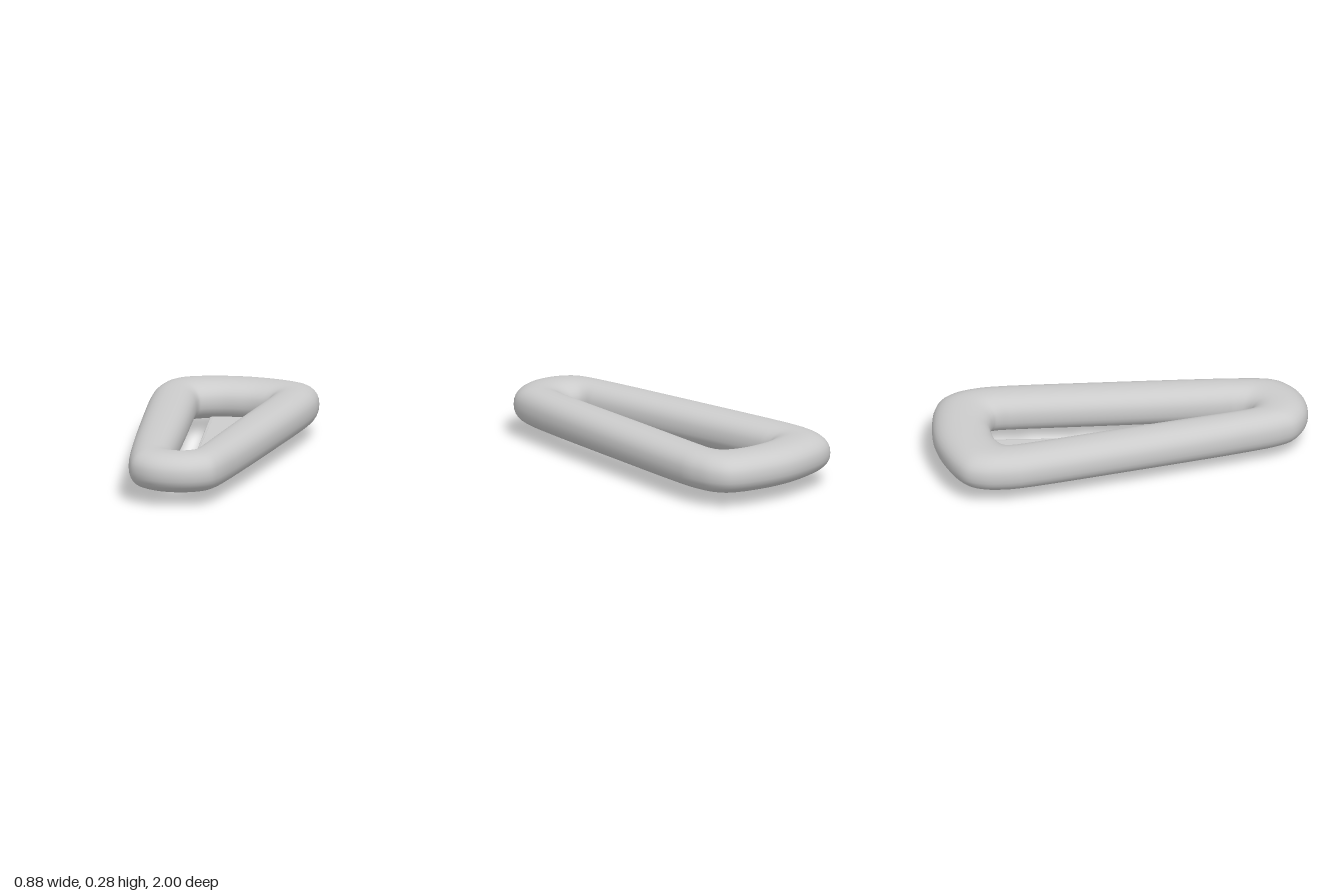
import * as THREE from 'three';

const material = new THREE.MeshStandardMaterial({ color: 0xcccccc });

// Half outlines from back to front: [outer x, outer z, inner x, inner z]
const HALF = [
  [0, -1, 0, -0.69],
  [0.15, -0.985, 0.08, -0.685],
  [0.3, -0.945, 0.14, -0.665],
  [0.375, -0.9, 0.165, -0.65],
  [0.42, -0.82, 0.18, -0.635],
  [0.438, -0.72, 0.185, -0.61],
  [0.44, -0.62, 0.182, -0.56],
  [0.37, 0, 0.12, 0],
  [0.285, 0.62, 0.06, 0.6],
  [0.245, 0.83, 0.055, 0.645],
  [0.215, 0.9, 0.045, 0.67],
  [0.15, 0.955, 0.03, 0.685],
  [0.08, 0.985, 0.015, 0.692],
  [0, 0.995, 0, 0.695],
];

// Closed smooth curve through the half outline and its mirror image
function outline(k) {
  const right = HALF.map((p) => new THREE.Vector3(p[k], 0, p[k + 1]));
  const left = right.slice(1, -1).reverse().map((p) => new THREE.Vector3(-p.x, 0, p.z));
  return new THREE.CatmullRomCurve3([...right, ...left], true, 'centripetal');
}

// Rounded bar swept between the outer and inner outlines
function frameGeometry() {
  const outer = outline(0), inner = outline(2);
  const rings = (HALF.length - 1) * 2 * 6, sides = 32;
  const midY = 0.175, halfHeight = 0.105, roundness = 2 / 2.3;
  const soft = (v) => Math.sign(v) * Math.pow(Math.abs(v), roundness);
  const positions = [], indices = [];
  for (let i = 0; i < rings; i++) {
    const o = outer.getPoint(i / rings), n = inner.getPoint(i / rings);
    for (let j = 0; j < sides; j++) {
      const a = (j / sides) * Math.PI * 2;
      const p = n.clone().lerp(o, 0.5 + 0.5 * soft(Math.cos(a)));
      positions.push(p.x, midY + halfHeight * soft(Math.sin(a)), p.z);
      const i2 = (i + 1) % rings, j2 = (j + 1) % sides;
      const A = i * sides + j, B = i * sides + j2, C = i2 * sides + j2, D = i2 * sides + j;
      indices.push(A, B, D, B, C, D);
    }
  }
  const g = new THREE.BufferGeometry();
  g.setAttribute('position', new THREE.Float32BufferAttribute(positions, 3));
  g.setIndex(indices);
  g.computeVertexNormals();
  return g;
}

// Side profile of the tongue extruded across x, then widened towards the back
function tongueGeometry() {
  const tip = 0.05, bevel = 0.008;
  const s = new THREE.Shape();
  s.moveTo(0.14, 0.07);
  s.lineTo(-0.66, 0.095);
  s.lineTo(-0.84, 0.095);
  s.lineTo(-0.84, 0.07);
  s.lineTo(-0.58, 0.004);
  s.lineTo(-0.2, 0.004);
  s.lineTo(0.125, 0.03);
  s.quadraticCurveTo(0.14, 0.031, 0.14, 0.042);
  s.closePath();
  const g = new THREE.ExtrudeGeometry(s, {
    depth: 2 * (tip - bevel), bevelThickness: bevel, bevelSize: bevel,
    bevelOffset: -bevel, bevelSegments: 2, curveSegments: 4,
  });
  g.translate(0, 0, bevel - tip).rotateY(-Math.PI / 2);
  const p = g.attributes.position;
  for (let i = 0; i < p.count; i++) {
    const halfWidth = tip + 0.1125 * (0.14 - p.getZ(i));
    p.setX(i, p.getX(i) * halfWidth / tip);
  }
  g.computeVertexNormals();
  return g;
}

export function createModel() {
  const model = new THREE.Group();
  model.name = 'clip';
  const parts = { frame: frameGeometry(), tongue: tongueGeometry() };
  for (const [name, geometry] of Object.entries(parts)) {
    const mesh = new THREE.Mesh(geometry, material);
    mesh.name = name;
    model.add(mesh);
  }
  return model;
}
